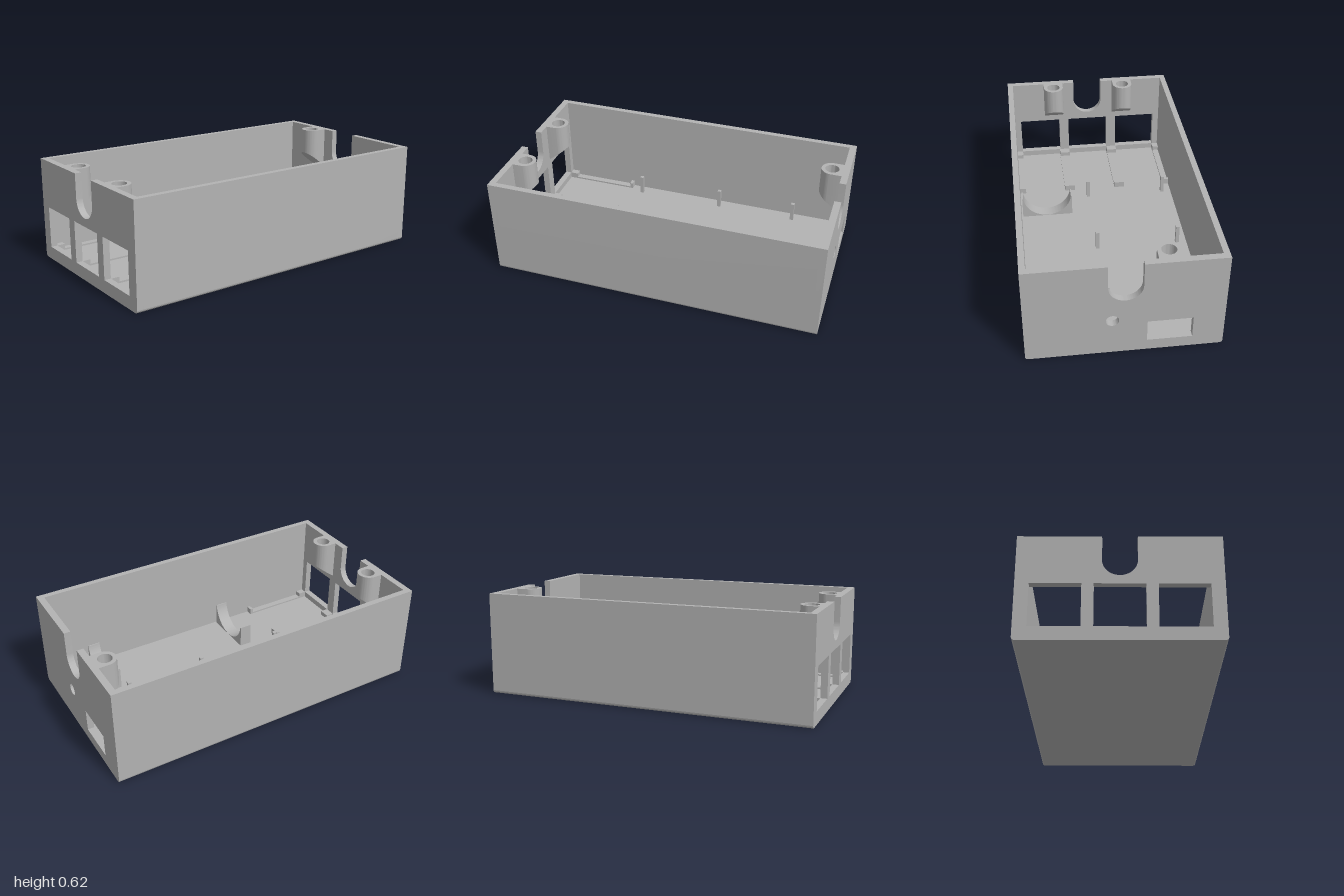
import * as THREE from 'three';
import { toCreasedNormals } from 'three/addons/utils/BufferGeometryUtils.js';

const X = 1, Z = 0.55, H = 0.62;         // outer half length, half width, height
const XI = 0.96, ZI = 0.515, FLOOR = 0.04; // inner faces
const R = 0.018;                         // rounded lower edges

export function createModel() {
  const group = new THREE.Group();
  group.name = 'enclosure';
  const grey = new THREE.MeshStandardMaterial({ color: 0xb3b3b3 });
  grey.name = 'grey plastic';

  const add = (name, geometry, parent = group) => {
    const mesh = new THREE.Mesh(geometry, grey);
    mesh.name = name;
    parent.add(mesh);
    return mesh;
  };
  const box = (name, x0, x1, y0, y1, z0, z1) => {
    const mesh = add(name, new THREE.BoxGeometry(x1 - x0, y1 - y0, z1 - z0));
    mesh.position.set((x0 + x1) / 2, (y0 + y1) / 2, (z0 + z1) / 2);
    return mesh;
  };
  // Extrudes a (z, y) outline along x from x0 to x1
  const alongX = (shape, x0, x1) => {
    const g = new THREE.ExtrudeGeometry(shape, { depth: x1 - x0, bevelEnabled: false, curveSegments: 32 });
    g.rotateY(-Math.PI / 2);
    g.translate(x1, 0, 0);
    return toCreasedNormals(g, 0.5);
  };
  // Extrudes an (x, -z) outline upward from y0 to y1
  const alongY = (shape, y0, y1) => {
    const g = new THREE.ExtrudeGeometry(shape, { depth: y1 - y0, bevelEnabled: false, curveSegments: 32 });
    g.rotateX(-Math.PI / 2);
    g.translate(0, y0, 0);
    return g;
  };
  // Outer lower half of the cross-section, up to the right rim
  const roundedBase = () => {
    const s = new THREE.Shape();
    s.moveTo(-Z, R);
    s.absarc(-Z + R, R, R, Math.PI, Math.PI * 1.5, false);
    s.lineTo(Z - R, 0);
    s.absarc(Z - R, R, R, -Math.PI / 2, 0, false);
    s.lineTo(Z, H);
    return s;
  };
  const rectHole = (z0, z1, y0, y1) => {
    const p = new THREE.Path();
    p.moveTo(z0, y0);
    p.lineTo(z0, y1);
    p.lineTo(z1, y1);
    p.lineTo(z1, y0);
    p.closePath();
    return p;
  };
  const roundHole = (u, v, r) => new THREE.Path().absarc(u, v, r, 0, Math.PI * 2, true);

  // Floor with front and back walls
  const trough = roundedBase();
  trough.lineTo(ZI, H);
  trough.lineTo(ZI, FLOOR);
  trough.lineTo(-ZI, FLOOR);
  trough.lineTo(-ZI, H);
  trough.lineTo(-Z, H);
  trough.closePath();
  add('floorAndLongWalls', alongX(trough, -XI, XI));

  // End walls with a U-shaped cable notch
  const endWall = (holes) => {
    const s = roundedBase();
    s.lineTo(0.095, H);
    s.lineTo(0.095, 0.475);
    s.absarc(0, 0.475, 0.095, 0, Math.PI, true);
    s.lineTo(-0.095, H);
    s.lineTo(-Z, H);
    s.closePath();
    s.holes.push(...holes);
    return s;
  };
  const ports = [-0.338, 0, 0.338].map((z) => rectHole(z - 0.137, z + 0.137, 0.078, 0.33));
  add('portEndWall', alongX(endWall(ports), -X, -XI));
  const sockets = [roundHole(0.07, 0.237, 0.036), rectHole(-0.375, -0.122, 0.07, 0.21)];
  add('socketEndWall', alongX(endWall(sockets), XI, X));

  // Screw bosses: D-shaped columns with a blind hole and a sloping underside
  const bossOutline = () => {
    const s = new THREE.Shape();
    s.moveTo(-0.068, -0.065);
    s.lineTo(0, -0.065);
    s.absarc(0, 0, 0.065, -Math.PI / 2, Math.PI / 2, false);
    s.lineTo(-0.068, 0.065);
    s.closePath();
    return s;
  };
  const bossTop = bossOutline();
  bossTop.holes.push(roundHole(0, 0, 0.042));
  const collar = toCreasedNormals(alongY(bossTop, 0.47, H), 0.5);
  let wedge = alongY(bossOutline(), 0.36, 0.47);
  const p = wedge.attributes.position;
  for (let i = 0; i < p.count; i++) {
    if (p.getY(i) < 0.4) p.setY(i, 0.36 + 0.1 * (p.getX(i) + 0.068) / 0.133);
  }
  wedge = toCreasedNormals(wedge, 0.5);
  for (const [x, z] of [[-0.905, -0.24], [-0.905, 0.238], [0.895, -0.24]]) {
    const boss = new THREE.Group();
    boss.name = 'screwBoss';
    boss.position.set(x, 0, z);
    if (x > 0) boss.rotation.y = Math.PI;
    add('bossCollar', collar, boss);
    add('bossSupport', wedge, boss);
    group.add(boss);
  }

  // Low rails between the ports, raised at both ends
  for (const [z0, z1] of [[-ZI, -0.475], [-0.205, -0.137], [0.137, 0.205], [0.475, ZI]]) {
    box('railBed', -0.915, -0.505, FLOOR - 0.01, 0.05, z0, z1);
    box('railOuterStep', -XI, -0.91, FLOOR - 0.01, 0.078, z0, z1);
    box('railInnerLip', -0.51, -0.49, FLOOR - 0.01, 0.078, z0, z1);
  }

  // Circuit board posts
  for (const x of [-0.41, 0.145, 0.648]) {
    for (const z of [-0.455, 0.053]) {
      box('boardPost', x - 0.011, x + 0.011, FLOOR - 0.01, 0.163, z - 0.011, z + 0.011);
    }
  }

  // Cradles with a round cut-out
  const cz = 0.343, cr = 0.157, top = 0.182, cy = 0.2;
  const a = Math.asin((top - cy) / cr);
  const cradle = new THREE.Shape();
  cradle.moveTo(0.18, FLOOR - 0.01);
  cradle.lineTo(0.506, FLOOR - 0.01);
  cradle.lineTo(0.506, top);
  cradle.absarc(cz, cy, cr, a, Math.PI - a, true);
  cradle.lineTo(0.18, top);
  cradle.closePath();
  for (const x of [-0.305, 0.648]) add('cradle', alongX(cradle, x, x + 0.077));

  return group;
}
